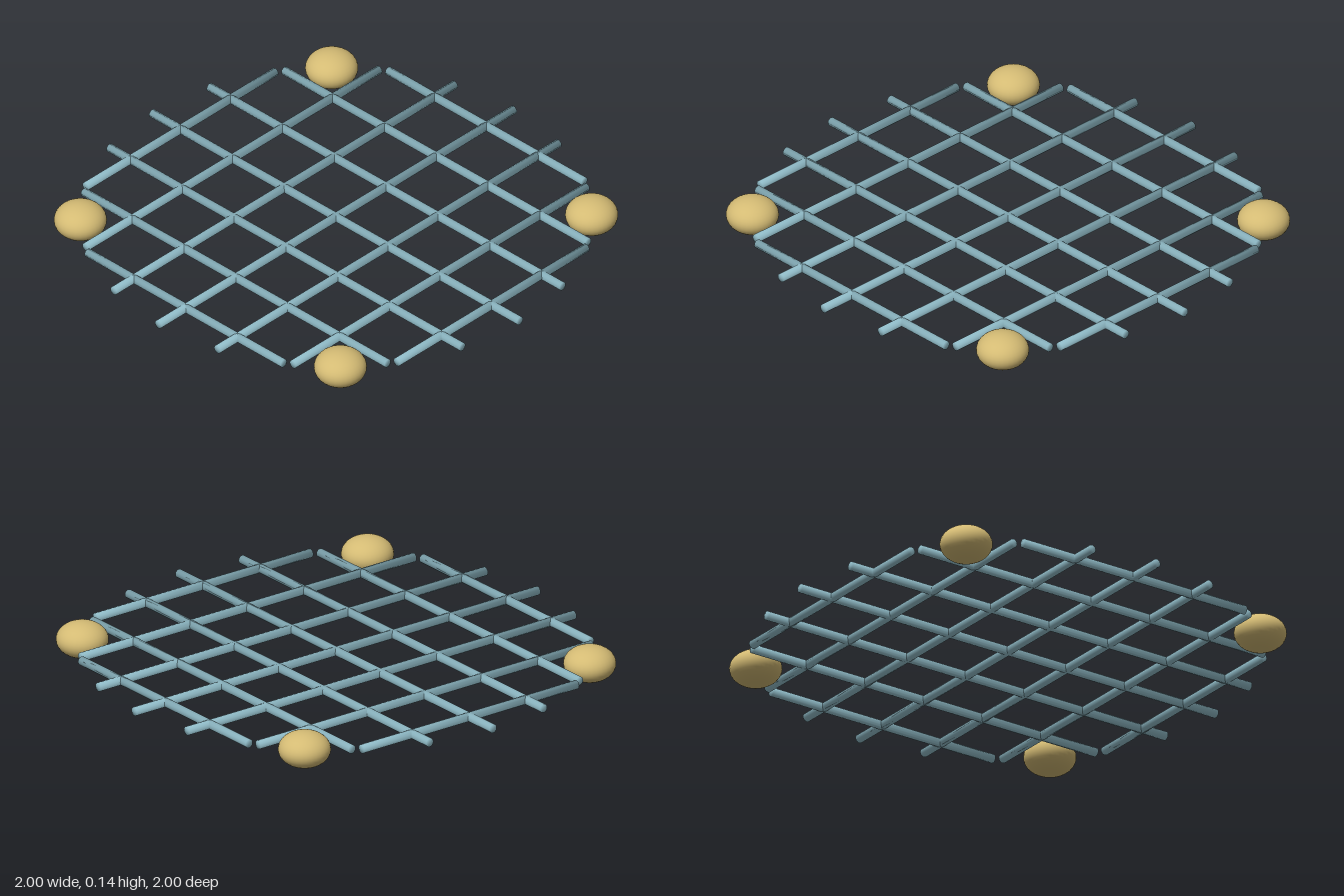
import * as THREE from 'three';

const BAR_RADIUS = 0.018;
const SPACING = 0.282;
const MID_Y = 0.072;

// Round bar along y whose normals blend softly over the end caps
function barGeometry(length) {
  const geo = new THREE.CylinderGeometry(BAR_RADIUS, BAR_RADIUS, length, 12);
  const pos = geo.attributes.position;
  const n = new THREE.Vector3();
  for (let i = 0; i < pos.count; i++) {
    n.set(pos.getX(i) / BAR_RADIUS, Math.sign(pos.getY(i)), pos.getZ(i) / BAR_RADIUS).normalize();
    geo.attributes.normal.setXYZ(i, n.x, n.y, n.z);
  }
  return geo;
}

export function createModel() {
  const model = new THREE.Group();
  model.name = 'roundGrate';

  const steel = new THREE.MeshStandardMaterial({ color: 0x8fbac6 });
  steel.name = 'pale blue steel';
  const brass = new THREE.MeshStandardMaterial({ color: 0xd4bb74 });
  brass.name = 'brass';

  // Crossing bars, each trimmed to a circle of radius 1
  for (let i = -3; i <= 3; i++) {
    const offset = i * SPACING;
    const geo = barGeometry(2 * Math.sqrt(1 - offset * offset));

    const crossBar = new THREE.Mesh(geo, steel);
    crossBar.name = 'crossBar';
    crossBar.rotation.z = -Math.PI / 2;
    crossBar.position.set(0, MID_Y, offset);

    const lengthBar = new THREE.Mesh(geo, steel);
    lengthBar.name = 'lengthBar';
    lengthBar.rotation.x = Math.PI / 2;
    lengthBar.position.set(offset, MID_Y, 0);

    model.add(crossBar, lengthBar);
  }

  // Four flattened knobs on the diagonals of the circle
  const knobGeo = new THREE.SphereGeometry(0.104, 32, 20).scale(1, MID_Y / 0.104, 1);
  for (const x of [-1, 1]) {
    for (const z of [-1, 1]) {
      const knob = new THREE.Mesh(knobGeo, brass);
      knob.name = 'knob';
      knob.position.set(x * Math.SQRT1_2, MID_Y, z * Math.SQRT1_2);
      model.add(knob);
    }
  }

  return model;
}
